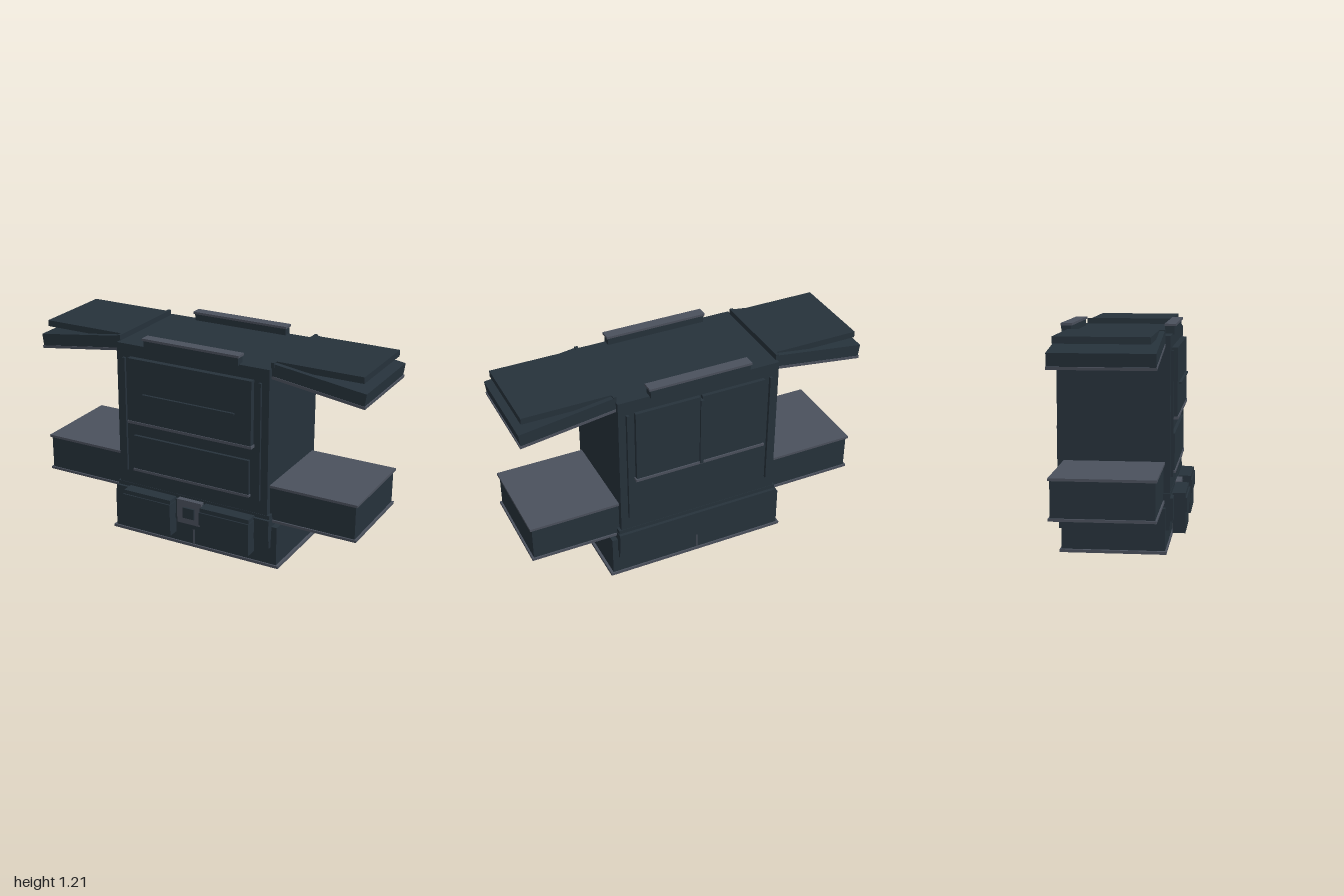
import * as THREE from 'three';

const paint = new THREE.MeshStandardMaterial({ color: 0x26323b });
paint.name = 'dark slate';
const trim = new THREE.MeshStandardMaterial({ color: 0x4b515d });
trim.name = 'grey trim';

// Box given by its limits on each axis
function box(parent, name, mat, [x0, x1], [y0, y1], [z0, z1]) {
  const m = new THREE.Mesh(new THREE.BoxGeometry(x1 - x0, y1 - y0, z1 - z0), mat);
  m.position.set((x0 + x1) / 2, (y0 + y1) / 2, (z0 + z1) / 2);
  m.name = name;
  parent.add(m);
  return m;
}

// Box limits mirrored to the side s (+1 left, -1 right)
const side = (s, a, b) => (s > 0 ? [a, b] : [-b, -a]);

export function createModel() {
  const g = new THREE.Group();
  g.name = 'foldOutCabinet';

  // Main body, skirt, bumper band and plinth
  box(g, 'body', paint, [-0.47, 0.47], [0.13, 1.155], [-0.322, 0.27]);
  box(g, 'skirt', paint, [-0.485, 0.485], [0.12, 0.318], [-0.324, 0.272]);
  box(g, 'bumperBand', paint, [-0.488, 0.488], [0.17, 0.295], [-0.342, 0.288]);
  box(g, 'plinth', paint, [-0.52, 0.52], [0.012, 0.245], [-0.306, 0.25]);
  box(g, 'plinthTrim', trim, [-0.535, 0.535], [0, 0.016], [-0.314, 0.258]);
  box(g, 'plinthSeam', trim, [-0.004, 0.004], [0.01, 0.12], [-0.309, 0.256]);

  // Roof rails, front and back
  for (const [name, z0, z1] of [['front', 0.225, 0.283], ['back', -0.338, -0.278]]) {
    box(g, name + 'RoofRail', paint, [-0.29, 0.29], [1.15, 1.196], [z0 + 0.003, z1 - 0.005]);
    box(g, name + 'RoofRailCap', trim, [-0.297, 0.297], [1.194, 1.207], [z0, z1 + 0.003]);
  }

  // Front panels with sills and handle
  box(g, 'upperPanel', paint, [-0.382, 0.382], [0.71, 1.087], [0.26, 0.303]);
  box(g, 'upperSill', trim, [-0.388, 0.388], [0.705, 0.72], [0.26, 0.308]);
  box(g, 'panelHandle', paint, [-0.285, 0.285], [0.883, 0.893], [0.3, 0.318]);
  box(g, 'lowerPanel', paint, [-0.364, 0.364], [0.415, 0.626], [0.26, 0.288]);
  box(g, 'lowerSill', trim, [-0.368, 0.368], [0.411, 0.425], [0.26, 0.293]);

  // Back panels, divider and sill
  for (const s of [1, -1])
    box(g, 'backPanel', paint, side(s, 0.006, 0.38), [0.65, 1.08], [-0.343, -0.31]);
  box(g, 'backDivider', paint, [-0.009, 0.009], [0.65, 1.062], [-0.354, -0.31]);
  box(g, 'backSill', trim, [-0.387, 0.387], [0.645, 0.66], [-0.35, -0.31]);

  // Hitch plate between the front lockers
  box(g, 'hitchPlate', trim, [-0.077, 0.077], [0.163, 0.306], [0.26, 0.303]);
  box(g, 'hitchSocket', paint, [-0.035, 0.035], [0.202, 0.265], [0.3, 0.314]);

  for (const s of [1, -1]) {
    // Upright rods
    box(g, 'frontRod', paint, side(s, 0.413, 0.428), [0.4, 1.077], [0.26, 0.285]);
    box(g, 'backRod', paint, side(s, 0.413, 0.428), [0.4, 1.077], [-0.34, -0.315]);

    // Front lockers
    box(g, 'locker', paint, side(s, 0.096, 0.398), [0.087, 0.307], [0.28, 0.35]);
    box(g, 'lockerBand', paint, side(s, 0.093, 0.401), [0.206, 0.283], [0.28, 0.358]);

    // Side slide-out boxes
    box(g, 'slideOut', paint, side(s, 0.46, 0.97), [0.275, 0.483], [-0.29, 0.236]);
    for (const y of [0.27, 0.474])
      box(g, 'slideOutTrim', trim, side(s, 0.46, 0.981), [y, y + 0.014], [-0.298, 0.244]);

    // Drooping wing, hinged at the roof edge
    const wing = new THREE.Group();
    wing.name = s > 0 ? 'leftWing' : 'rightWing';
    wing.position.set(s * 0.47, 1.182, 0);
    wing.rotation.z = -s * 0.137;
    box(wing, 'wingShell', paint, side(s, 0, 0.534), [-0.084, 0], [-0.298, 0.241]);
    box(wing, 'wingTrim', trim, side(s, 0, 0.54), [-0.083, -0.068], [-0.301, 0.244]);
    g.add(wing);

    // Flat lid above the wing and its hinge strip
    box(g, 'wingLid', paint, side(s, 0.47, 0.972), [1.152, 1.187], [-0.272, 0.213]);
    box(g, 'hingeStrip', paint, side(s, 0.464, 0.482), [1.11, 1.187], [-0.298, 0.243]);
  }
  return g;
}
